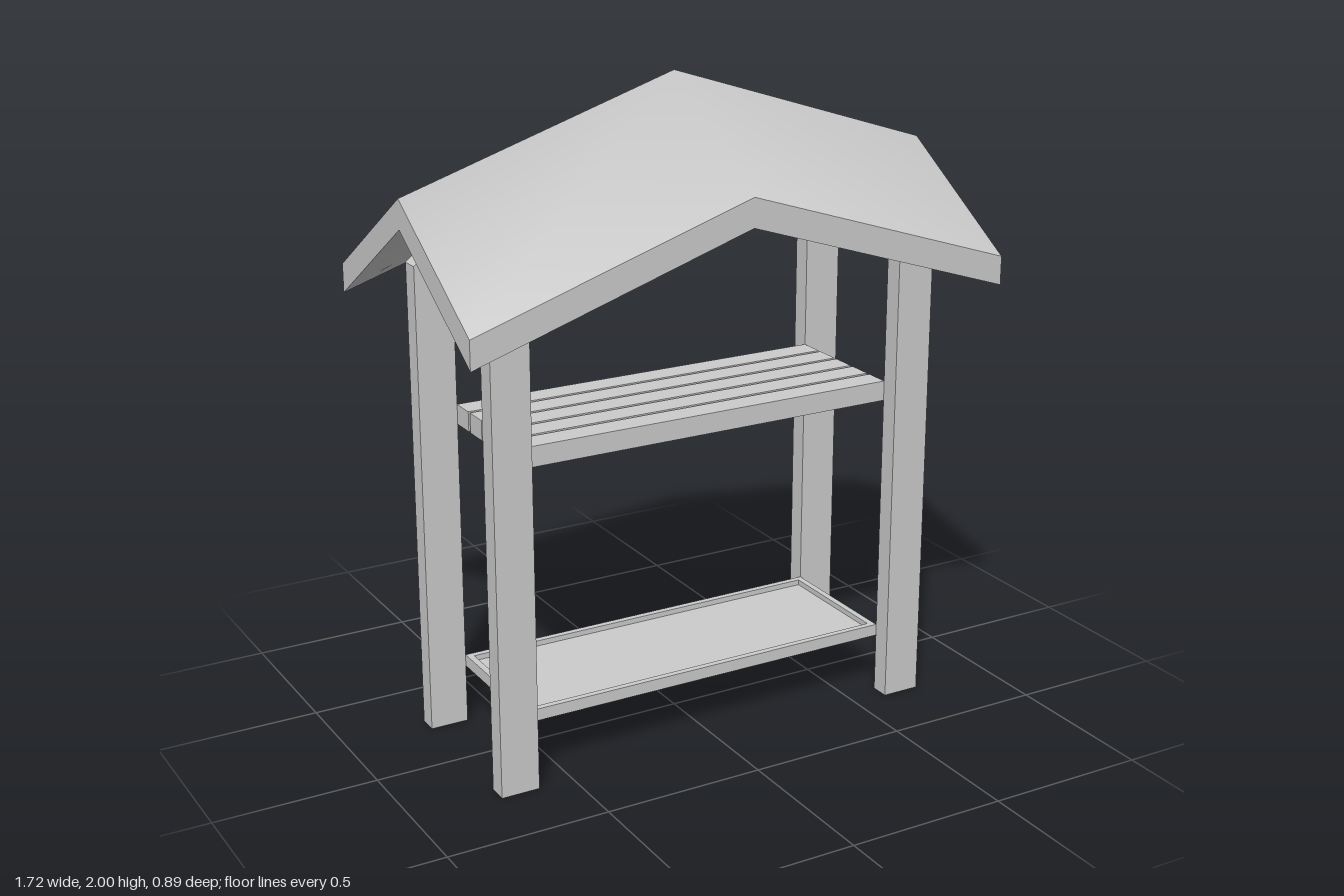
import * as THREE from 'three';
import { mergeVertices } from 'three/addons/utils/BufferGeometryUtils.js';

const material = new THREE.MeshStandardMaterial({ color: 0xcccccc });
const HX = 0.86, HZ = 0.443; // roof half extents
const THICK = 0.087;
const roofY = (x, z) => 2 - 0.277 * Math.abs(x) / HX - 0.283 * Math.abs(z) / HZ;

function add(parent, name, geometry, x = 0, y = 0, z = 0) {
  const mesh = new THREE.Mesh(geometry, material);
  mesh.name = name;
  mesh.position.set(x, y, z);
  parent.add(mesh);
  return mesh;
}

// One smooth skin of the roof, peaked in both directions
function roofSkin(drop, facing) {
  const geo = new THREE.PlaneGeometry(2 * HX, 2 * HZ, 2, 2).rotateX(-facing * Math.PI / 2);
  const p = geo.attributes.position;
  for (let i = 0; i < p.count; i++) p.setY(i, roofY(p.getX(i), p.getZ(i)) - drop);
  geo.computeVertexNormals();
  return geo;
}

// Vertical fascia between the two skins
function roofEdge() {
  const ring = [[-1, 1], [0, 1], [1, 1], [1, 0], [1, -1], [0, -1], [-1, -1], [-1, 0]];
  const pos = [];
  ring.forEach((a, i) => {
    const b = ring[(i + 1) % ring.length];
    const [ax, az, bx, bz] = [a[0] * HX, a[1] * HZ, b[0] * HX, b[1] * HZ];
    const ta = [ax, roofY(ax, az), az], tb = [bx, roofY(bx, bz), bz];
    const la = [ax, ta[1] - THICK, az], lb = [bx, tb[1] - THICK, bz];
    pos.push(...la, ...lb, ...tb, ...la, ...tb, ...ta);
  });
  const geo = new THREE.BufferGeometry();
  geo.setAttribute('position', new THREE.Float32BufferAttribute(pos, 3));
  geo.computeVertexNormals();
  return mergeVertices(geo);
}

// Post with a mitred top, lower on the outer side
function postGeometry(side) {
  const outline = [[0.61, 0], [0.73, 0], [0.73, 1.465], [0.61, 1.565]];
  const shape = new THREE.Shape(outline.map(([x, y]) => new THREE.Vector2(side * x, y)));
  return new THREE.ExtrudeGeometry(shape, { depth: 0.06, bevelEnabled: false });
}

export function createModel() {
  const model = new THREE.Group();
  model.name = 'roofedStand';

  // Roof
  const roof = new THREE.Group();
  roof.name = 'roof';
  model.add(roof);
  add(roof, 'roofTop', roofSkin(0, 1));
  add(roof, 'roofUnderside', roofSkin(THICK, -1));
  add(roof, 'roofFascia', roofEdge());

  // Four posts
  for (const sx of [1, -1]) {
    for (const sz of [1, -1]) {
      const name = (sz > 0 ? 'front' : 'back') + (sx > 0 ? 'Left' : 'Right') + 'Post';
      add(model, name, postGeometry(sx), 0, 0, sz * 0.25 - 0.03);
    }
  }

  // Slatted counter
  const counter = new THREE.Group();
  counter.name = 'counter';
  model.add(counter);
  for (let i = -2; i <= 2; i++) {
    add(counter, 'counterSlat', new THREE.BoxGeometry(1.22, 0.062, 0.079), 0, 1, i * 0.0905);
  }

  // Lower tray with a raised rim
  const tray = new THREE.Group();
  tray.name = 'lowerTray';
  model.add(tray);
  add(tray, 'trayFloor', new THREE.BoxGeometry(1.18, 0.02, 0.40), 0, 0.195, 0);
  for (const s of [1, -1]) {
    add(tray, 'trayLongRim', new THREE.BoxGeometry(1.22, 0.037, 0.02), 0, 0.2035, s * 0.21);
    add(tray, 'trayEndRim', new THREE.BoxGeometry(0.02, 0.037, 0.40), s * 0.60, 0.2035, 0);
  }
  return model;
}
